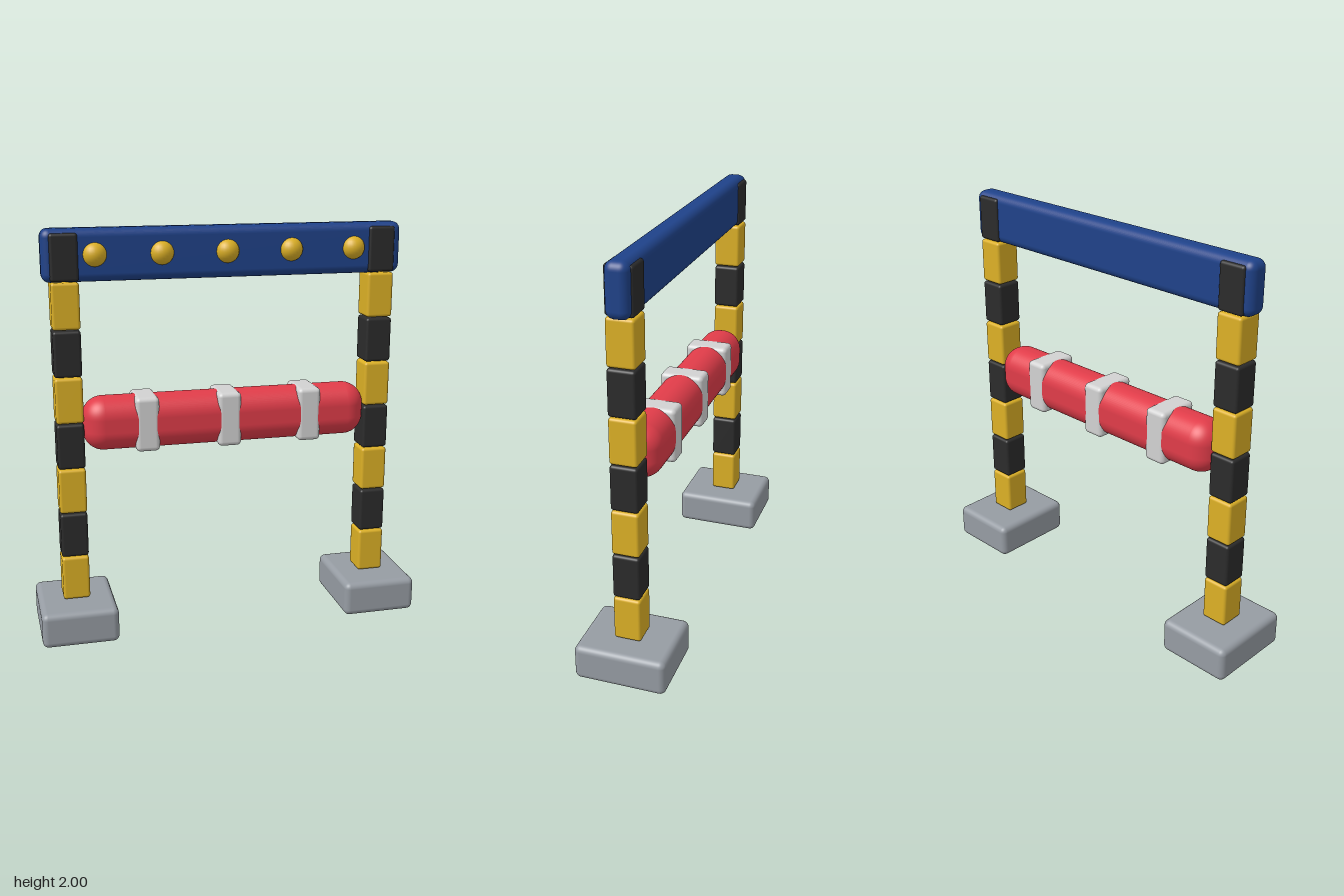
import * as THREE from 'three';
import { RoundedBoxGeometry } from 'three/addons/geometries/RoundedBoxGeometry.js';

const material = (name, color) => {
  const m = new THREE.MeshStandardMaterial({ color });
  m.name = name;
  return m;
};

export function createModel() {
  const model = new THREE.Group();
  model.name = 'barrier';

  const yellow = material('yellow', 0xdcb026);
  const black = material('black', 0x2b2b2b);
  const blue = material('blue', 0x1f4289);
  const red = material('red', 0xe03c49);
  const grey = material('grey', 0x969ca3);
  const silver = material('silver', 0xd2d2d2);

  const add = (parent, name, geometry, mat, x, y, z) => {
    const mesh = new THREE.Mesh(geometry, mat);
    mesh.name = name;
    mesh.position.set(x, y, z);
    parent.add(mesh);
  };

  // Two striped posts on weighted feet
  const footGeometry = new RoundedBoxGeometry(0.375, 0.175, 0.445, 4, 0.03);
  const segmentGeometry = new RoundedBoxGeometry(0.132, 0.22, 0.132, 3, 0.014);
  for (const side of [-1, 1]) {
    const post = new THREE.Group();
    post.name = side > 0 ? 'leftPost' : 'rightPost';
    post.position.x = side * 0.773;
    add(post, 'foot', footGeometry, grey, 0, 0.0915, 0);
    for (let i = 0; i < 8; i++) {
      add(post, 'postSegment', segmentGeometry, i % 2 ? black : yellow, 0, 0.295 + i * 0.225, 0);
    }
    model.add(post);
  }

  // Top beam with a row of lamps on its front
  add(model, 'topBeam', new RoundedBoxGeometry(1.752, 0.247, 0.112, 5, 0.04), blue, 0, 1.8765, 0);
  const lampGeometry = new THREE.SphereGeometry(0.057, 24, 16);
  for (let i = -2; i <= 2; i++) {
    add(model, 'lamp', lampGeometry, yellow, i * 0.315, 1.88, 0.043);
  }

  // Padded crossbar wrapped by three bands
  add(model, 'crossbar', new RoundedBoxGeometry(1.42, 0.263, 0.214, 8, 0.1), red, 0, 1.067, 0);
  const bandGeometry = new RoundedBoxGeometry(0.116, 0.267, 0.218, 4, 0.022);
  for (let i = -1; i <= 1; i++) {
    add(model, 'band', bandGeometry, silver, i * 0.406, 1.067, 0);
  }

  return model;
}
